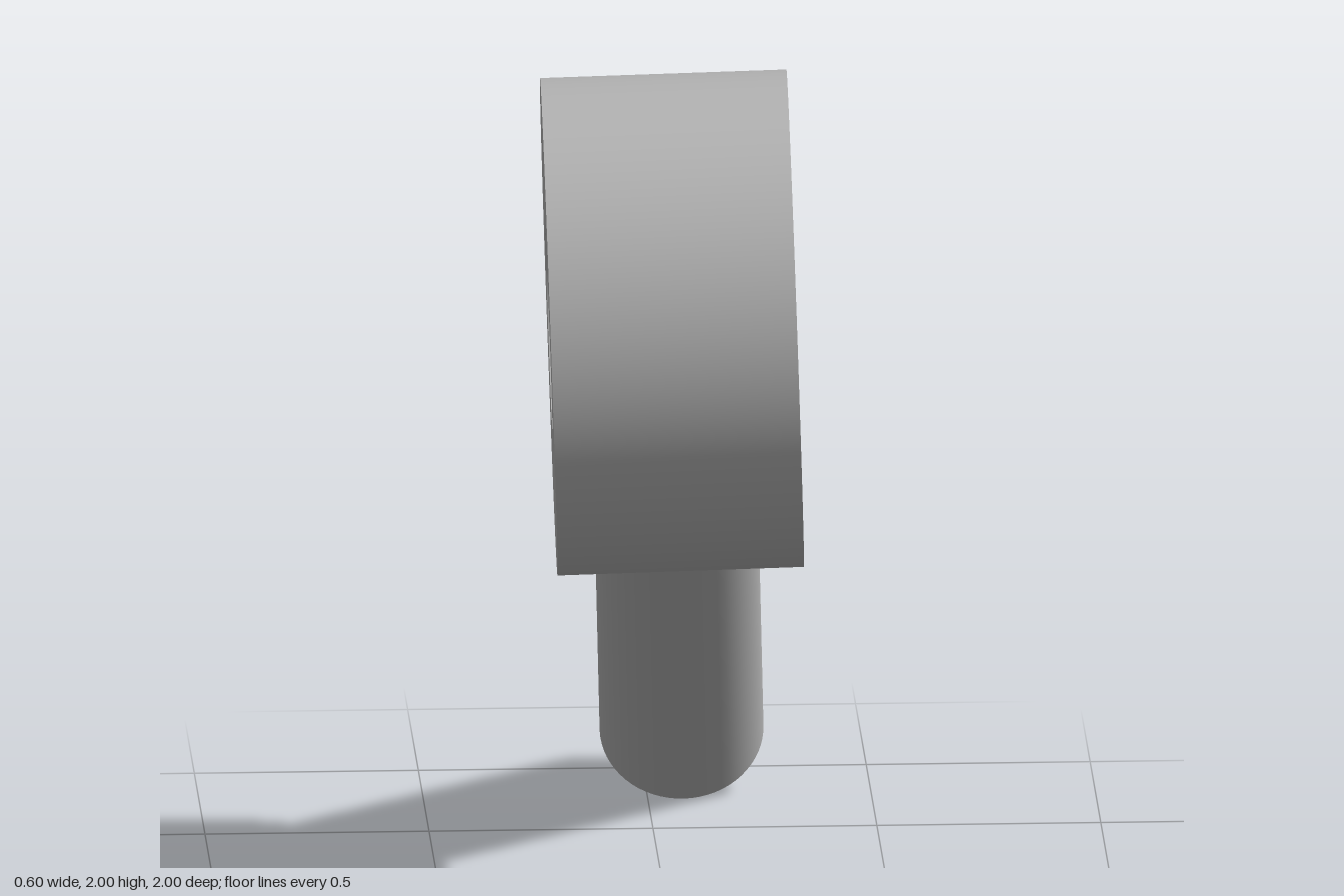
import * as THREE from 'three';
import { toCreasedNormals } from 'three/addons/utils/BufferGeometryUtils.js';

export function createModel() {
  const model = new THREE.Group();
  model.name = 'eyeBolt';
  const grey = new THREE.MeshStandardMaterial({ name: 'grey', color: 0xb4b4b4 });

  // Eye: a thick ring, extruded along its own z and centred on the bore
  const outerRadius = 0.555, boreRadius = 0.23, thickness = 0.55;
  const profile = new THREE.Shape().absarc(0, 0, outerRadius, 0, Math.PI * 2, false);
  profile.holes.push(new THREE.Path().absarc(0, 0, boreRadius, 0, Math.PI * 2, true));
  const ring = new THREE.ExtrudeGeometry(profile, {
    depth: thickness, bevelEnabled: false, curveSegments: 96,
  });
  ring.translate(0, 0, -thickness / 2);
  const eye = new THREE.Mesh(toCreasedNormals(ring, 0.6), grey);
  eye.name = 'eye';
  model.add(eye);

  // Shank: a plain rod running down from inside the ring wall
  const start = 0.4, end = 1.85;
  const rod = new THREE.CylinderGeometry(0.183, 0.183, end - start, 64);
  rod.translate(0, -(start + end) / 2, 0);
  const shank = new THREE.Mesh(rod, grey);
  shank.name = 'shank';
  model.add(shank);

  // Pose: bore nearly along x, shank leaning down and back
  const bore = new THREE.Vector3(1, 0.032, 0.032).normalize();
  const up = new THREE.Vector3(-0.064, 1, 1).normalize();
  const side = new THREE.Vector3().crossVectors(up, bore);
  model.quaternion.setFromRotationMatrix(new THREE.Matrix4().makeBasis(side, up, bore));
  model.position.set(-0.002, 1.437, 0.437);

  const root = new THREE.Group();
  root.name = 'model';
  root.add(model);
  return root;
}
